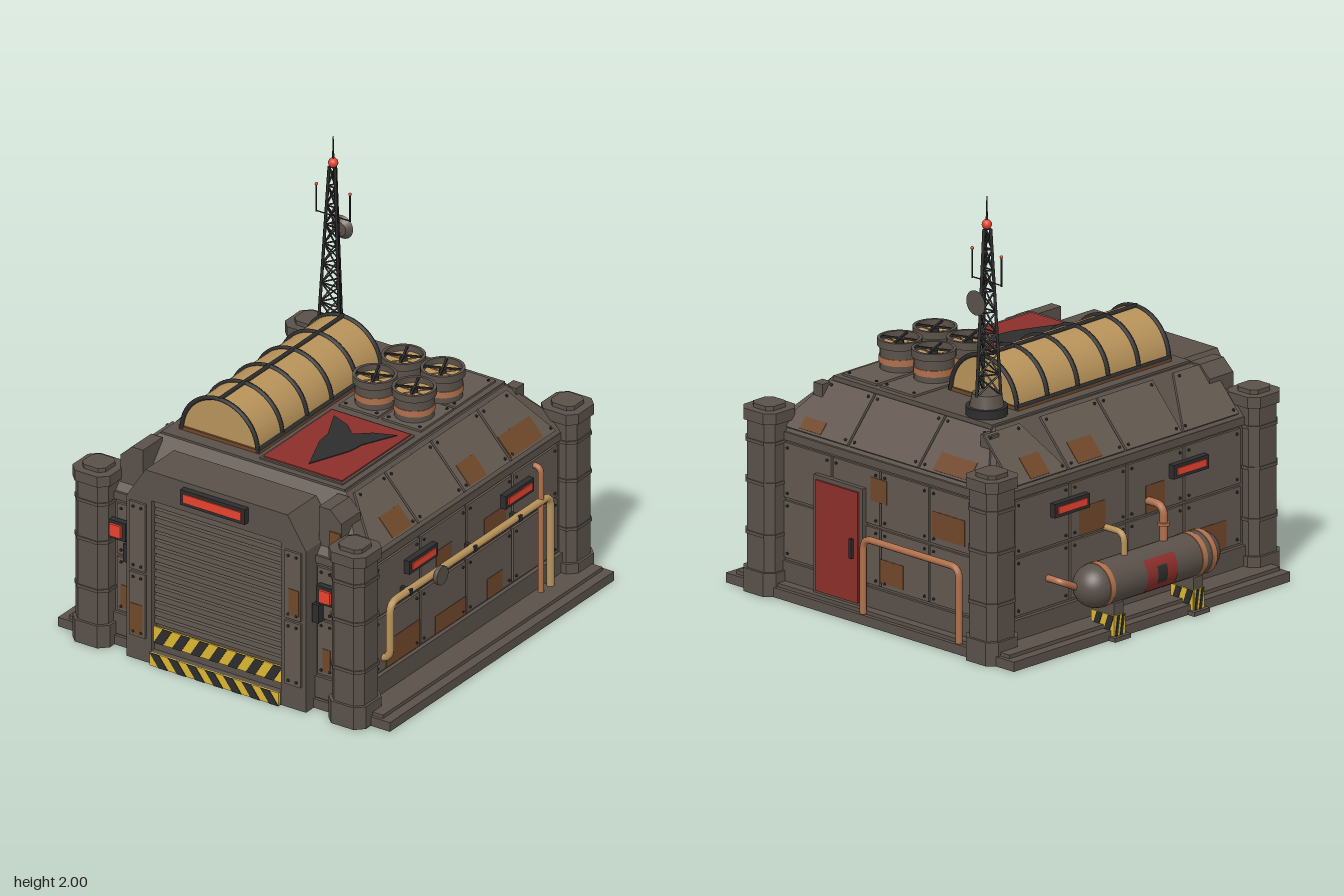
import * as THREE from 'three';

const M = (name, color, side = THREE.FrontSide) => {
  const m = new THREE.MeshStandardMaterial({ color, side });
  m.name = name;
  return m;
};
const steel = M('steel', 0x5a5149), panelGrey = M('panel grey', 0x625850), dark = M('dark iron', 0x2d2d2e),
  rust = M('rust', 0x70482a), lampRed = M('lamp red', 0xe8432e), paintRed = M('paint red', 0x8c2f2a),
  tan = M('tan', 0xb8935a, THREE.DoubleSide), hazard = M('hazard yellow', 0xdcb730), copper = M('copper', 0xb0704c);

const V = (x, y, z) => new THREE.Vector3(x, y, z);
function add(parent, name, geo, mat, x = 0, y = 0, z = 0) {
  const m = new THREE.Mesh(geo, mat);
  m.name = name;
  m.position.set(x, y, z);
  parent.add(m);
  return m;
}
function group(parent, name, x = 0, y = 0, z = 0) {
  const g = new THREE.Group();
  g.name = name;
  g.position.set(x, y, z);
  parent.add(g);
  return g;
}
// box given by its ranges on each axis
const box = (p, name, mat, x0, x1, y0, y1, z0, z1) =>
  add(p, name, new THREE.BoxGeometry(x1 - x0, y1 - y0, z1 - z0), mat, (x0 + x1) / 2, (y0 + y1) / 2, (z0 + z1) / 2);
const prism = (pts, depth) => new THREE.ExtrudeGeometry(
  new THREE.Shape(pts.map(([x, y]) => new THREE.Vector2(x, y))), { depth, bevelEnabled: false });
const cyl = (r, h, n = 16, r2 = r) => new THREE.CylinderGeometry(r2, r, h, n);

// straight rod between two points
function strut(p, name, mat, a, b, r, n = 5) {
  const m = add(p, name, cyl(r, a.distanceTo(b), n), mat);
  m.position.copy(a).lerp(b, 0.5);
  m.quaternion.setFromUnitVectors(V(0, 1, 0), b.clone().sub(a).normalize());
}
// pipe through points with rounded elbows
function pipe(p, name, mat, pts, r, bend = 0.05) {
  const path = new THREE.CurvePath();
  let from = pts[0];
  for (let i = 1; i < pts.length - 1; i++) {
    const c = pts[i];
    const a = c.clone().add(pts[i - 1].clone().sub(c).setLength(bend));
    const b = c.clone().add(pts[i + 1].clone().sub(c).setLength(bend));
    path.add(new THREE.LineCurve3(from, a));
    path.add(new THREE.QuadraticBezierCurve3(a, c, b));
    from = b;
  }
  path.add(new THREE.LineCurve3(from, pts[pts.length - 1]));
  add(p, name, new THREE.TubeGeometry(path, 90, r, 10), mat);
}
// riveted plate in a wall's own frame, its top edge may be shorter
const rivetGeo = cyl(0.007, 0.008, 6).rotateX(Math.PI / 2);
function plate(p, u0, u1, v0, v1, t0 = u0, t1 = u1) {
  add(p, 'wall panel', prism([[u0, v0], [u1, v0], [t1, v1], [t0, v1]], 0.012), panelGrey);
  const e = 0.022;
  for (const [u, v] of [[u0 + e, v0 + e], [u1 - e, v0 + e], [t1 - e, v1 - e], [t0 + e, v1 - e]])
    add(p, 'rivet', rivetGeo, dark, u, v, 0.014);
}
const patch = (p, u0, u1, v0, v1) =>
  box(p, 'rust patch', rust, Math.min(u0, u1), Math.max(u0, u1), v0, v1, 0.011, 0.0145);
function wall(parent, name, x, y, z, turn, tilt = 0) {
  const g = group(parent, name, x, y, z);
  g.rotation.set(-tilt, turn, 0, 'YXZ');
  return g;
}
function lamp(p, u, v, z, w = 0.22, h = 0.065) {
  box(p, 'lamp housing', dark, u - w / 2, u + w / 2, v - h / 2, v + h / 2, z, z + 0.03);
  box(p, 'lamp', lampRed, u - w / 2 + 0.018, u + w / 2 - 0.018, v - h / 2 + 0.016, v + h / 2 - 0.016, z + 0.03, z + 0.036);
}
function hazardBand(p, u0, u1, v0, v1, z, n, lean) {
  box(p, 'hazard band', hazard, u0, u1, v0, v1, z - 0.009, z);
  const w = (u1 - u0) / n, lo = lean > 0 ? 0 : w / 2, hi = w / 2 - lo;
  for (let i = 0; i < n; i++) {
    const u = u0 + i * w;
    add(p, 'hazard stripe', prism([[u + lo, v0], [u + lo + w / 2, v0], [u + hi + w / 2, v1], [u + hi, v1]], 0.003), dark, 0, 0, z);
  }
}

export function createModel() {
  const model = new THREE.Group();
  model.name = 'garage bunker';
  const b = group(model, 'building', 0.02, 0, 0);
  const H = Math.PI / 2;

  // foundation and body
  box(b, 'foundation', steel, -0.887, 0.887, 0, 0.045, -0.9, 0.845);
  box(b, 'foundation step', steel, -0.84, 0.84, 0.045, 0.062, -0.88, 0.83);
  box(b, 'body', steel, -0.7, 0.7, 0.05, 0.75, -0.82, 0.82);
  box(b, 'plinth', steel, -0.72, 0.72, 0.05, 0.155, -0.835, 0.835);
  box(b, 'cornice', steel, -0.712, 0.712, 0.715, 0.752, -0.83, 0.83);
  const roofGeo = new THREE.BoxGeometry(1.42, 0.23, 1.64);
  const rp = roofGeo.attributes.position;
  for (let i = 0; i < rp.count; i++)
    if (rp.getY(i) > 0) rp.setXYZ(i, Math.sign(rp.getX(i)) * 0.5, 0.115, Math.sign(rp.getZ(i)) * 0.62);
  const roofFlat = roofGeo.toNonIndexed();
  roofFlat.computeVertexNormals();
  add(b, 'sloped roof', roofFlat, steel, 0, 0.865, 0);
  box(b, 'roof deck', steel, -0.49, 0.49, 0.96, 0.99, -0.63, 0.62);

  // side walls and side slopes
  const cuts = [-0.715, -0.355, 0.005, 0.365, 0.72], tiltS = Math.atan(0.21 / 0.23), lenS = 0.311;
  for (const s of [1, -1]) {
    const w = wall(b, 'side wall', s * 0.7, 0, 0, s * H);
    const sl = wall(b, 'side slope', s * 0.71, 0.75, 0, s * H, tiltS);
    for (let i = 0; i < 4; i++) {
      const [a, c] = s > 0 ? [cuts[i], cuts[i + 1]] : [-cuts[i + 1], -cuts[i]];
      const u0 = a + 0.006, u1 = c - 0.006;
      plate(w, u0, u1, 0.17, 0.435);
      plate(w, u0, u1, 0.45, 0.705);
      plate(sl, u0, u1, 0.02, lenS - 0.02, i === 0 ? u0 + 0.12 : u0, i === 3 ? u1 - 0.12 : u1);
    }
    for (const [z0, z1, v0, v1] of [[0.62, 0.36, 0.17, 0.3], [0.24, 0, 0.17, 0.26], [-0.165, -0.285, 0.17, 0.27],
      [0.23, 0.11, 0.45, 0.58], [-0.145, -0.31, 0.45, 0.58]]) patch(w, -s * z0, -s * z1, v0, v1);
    for (const [z0, z1] of s > 0 ? [[-0.05, -0.185], [-0.375, -0.62], [0.4, 0.55]] : [[-0.48, -0.6], [-0.15, -0.3]])
      patch(sl, -s * z0, -s * z1, 0.03, 0.14);
    for (const z of [0.37, -0.38]) lamp(w, -s * z, 0.613, 0.012);
  }

  // rear wall with door and pipe
  const rear = wall(b, 'rear wall', 0, 0, -0.82, Math.PI);
  const rearSlope = wall(b, 'rear slope', 0, 0.75, -0.82, Math.PI, Math.atan(0.2 / 0.23));
  for (let i = 0; i < 4; i++) {
    const u = -0.6 + i * 0.3;
    plate(rear, u + 0.006, u + 0.294, 0.17, 0.435);
    plate(rear, u + 0.006, u + 0.294, 0.45, 0.705);
  }
  for (let i = 0; i < 3; i++) {
    const u0 = -0.65 + i * 0.4333 + 0.006, u1 = u0 + 0.421;
    plate(rearSlope, u0, u1, 0.02, 0.285, i === 0 ? u0 + 0.15 : u0, i === 2 ? u1 - 0.15 : u1);
  }
  patch(rearSlope, 0.3, 0.52, 0.03, 0.12);
  patch(rearSlope, -0.52, -0.39, 0.03, 0.09);
  patch(rear, 0.32, 0.52, 0.48, 0.6);
  patch(rear, 0.0, 0.14, 0.19, 0.3);
  patch(rear, -0.06, 0.04, 0.56, 0.67);
  box(rear, 'door frame', steel, -0.39, -0.09, 0.06, 0.61, 0, 0.035);
  box(rear, 'rear door', paintRed, -0.37, -0.11, 0.075, 0.59, 0.035, 0.045);
  box(rear, 'door handle', dark, -0.15, -0.135, 0.28, 0.37, 0.045, 0.06);
  pipe(rear, 'rear pipe', copper, [V(-0.05, 0.05, 0.07), V(-0.05, 0.4, 0.07), V(0.54, 0.4, 0.07), V(0.54, 0.05, 0.07)], 0.016);

  // corner columns
  for (const x of [-0.685, 0.685]) for (const z of [-0.832, 0.822]) {
    const c = group(b, 'corner column', x, 0, z);
    for (const [w, y0, y1] of [[0.2, 0, 0.11], [0.175, 0.11, 0.81], [0.186, 0.27, 0.285], [0.186, 0.51, 0.525],
      [0.186, 0.7, 0.715], [0.2, 0.8, 0.852], [0.125, 0.852, 0.872]]) {
      const h = w / 2, k = h * 0.6;
      add(c, 'column section', prism([[h, -k], [h, k], [k, h], [-k, h], [-h, k], [-h, -k], [-k, -h], [k, -h]], y1 - y0)
        .rotateX(-H), steel, 0, y0, 0);
    }
  }

  // front portal and shutter
  const f = group(b, 'front portal');
  add(f, 'portal frame', prism([[-0.345, 0], [-0.48, 0], [-0.48, 0.8], [-0.38, 0.955], [0.38, 0.955], [0.48, 0.8],
    [0.48, 0], [0.345, 0], [0.345, 0.81], [-0.345, 0.81]], 0.225), steel, 0, 0, 0.68);
  box(f, 'shutter backing', steel, -0.345, 0.345, 0, 0.81, 0.8, 0.865);
  for (let i = 0; i < 16; i++)
    box(f, 'shutter slat', panelGrey, -0.345, 0.345, 0.195 + i * 0.0385, 0.221 + i * 0.0385, 0.865, 0.885);
  hazardBand(f, -0.345, 0.345, 0.1, 0.18, 0.89, 7, 1);
  box(f, 'shutter foot', steel, -0.345, 0.345, 0, 0.1, 0.865, 0.885);
  box(f, 'threshold', steel, -0.345, 0.345, 0, 0.065, 0.88, 0.916);
  hazardBand(f, -0.345, 0.345, 0, 0.065, 0.922, 7, -1);
  lamp(f, 0, 0.893, 0.905, 0.345, 0.075);
  const front = group(b, 'front wall', 0, 0, 0.82), face = group(f, 'portal plates', 0, 0, 0.905);
  for (const s of [1, -1]) {
    for (const [v0, v1] of [[0.12, 0.435], [0.45, 0.785]]) plate(face, s * 0.415 - 0.043, s * 0.415 + 0.043, v0, v1);
    for (const [v0, v1] of [[0.17, 0.435], [0.45, 0.7]]) plate(front, s * 0.535 - 0.045, s * 0.535 + 0.045, v0, v1);
    lamp(front, s * 0.56, 0.585, 0.02, 0.1, 0.09);
    box(front, 'lamp face', lampRed, s * 0.56 - 0.03, s * 0.56 + 0.03, 0.555, 0.615, 0.05, 0.062);
    box(front, 'conduit box', dark, s * 0.505 - 0.017, s * 0.505 + 0.017, 0.44, 0.53, 0, 0.05);
    // roof corner gussets
    add(b, 'front gusset', prism([[s * 0.47, 0.74], [s * 0.59, 0.74], [s * 0.59, 0.92], [s * 0.53, 0.975], [s * 0.47, 0.975]], 0.15),
      steel, 0, 0, 0.64);
    box(b, 'rear gusset', steel, s * 0.515 - 0.028, s * 0.515 + 0.028, 0.85, 0.965, -0.7, -0.64);
    patch(front, s * 0.52, s * 0.56, 0.185, 0.3);
  }
  patch(face, -0.45, -0.385, 0.13, 0.28);
  patch(face, 0.395, 0.45, 0.47, 0.6);
  box(b, 'rust patch', rust, 0.53, 0.585, 0.78, 0.87, 0.788, 0.795);

  // roof plates and red hatch
  const deck = wall(b, 'deck plates', 0, 0.988, 0, 0, H);
  for (const u of [0.02, 0.25]) for (const [v0, v1] of [[0.02, 0.275], [0.29, 0.6]]) plate(deck, u, u + 0.21, v0, v1);
  box(deck, 'hatch rim', steel, 0.015, 0.46, -0.59, -0.03, 0, 0.01);
  box(deck, 'red hatch', paintRed, 0.027, 0.448, -0.578, -0.042, 0.01, 0.016);
  add(deck, 'direction arrow', prism([[0.07, -0.09], [0.17, -0.13], [0.238, -0.19], [0.306, -0.13], [0.406, -0.09],
    [0.33, -0.25], [0.32, -0.33], [0.238, -0.53], [0.156, -0.33], [0.146, -0.25]], 0.004), dark, 0, 0, 0.016);

  // barrel skylight
  const v = group(b, 'barrel skylight', -0.225, 0.995, 0.07);
  box(v, 'skylight curb', rust, -0.215, 0.215, -0.01, 0.012, -0.485, 0.485);
  add(v, 'skylight glazing', new THREE.CylinderGeometry(0.2, 0.2, 0.95, 32, 1, false, H, Math.PI).rotateX(H), tan);
  for (let i = 0; i < 6; i++)
    add(v, 'skylight rib', new THREE.TorusGeometry(0.203, 0.011, 6, 28, Math.PI), dark, 0, 0, -0.48 + i * 0.192);
  for (const [x, y] of [[0, 0.205], [-0.207, 0.012], [0.207, 0.012]])
    strut(v, 'skylight rail', dark, V(x, y, -0.485), V(x, y, 0.485), 0.01, 8);

  // roof fans
  const casing = [[0.09, 0], [0.09, 0.105], [0.1, 0.105], [0.1, 0.14], [0.086, 0.14], [0.086, 0.1], [0, 0.1]];
  for (const x of [0.135, 0.345]) for (const z of [-0.357, -0.135]) {
    const g = group(b, 'roof fan', x, 0.998, z);
    for (let i = 0; i < casing.length - 1; i++)
      add(g, 'fan casing', new THREE.LatheGeometry([casing[i], casing[i + 1]].map(p => new THREE.Vector2(...p)), 24), i === 5 ? rust : steel);
    add(g, 'fan band', cyl(0.093, 0.03, 24), copper, 0, 0.045, 0);
    for (let i = 0; i < 6; i++) {
      const blade = new THREE.CircleGeometry(0.084, 6, i * Math.PI / 3, 0.85).rotateX(-H);
      add(g, 'fan blade', blade, tan, 0, 0.112, 0);
    }
    add(g, 'fan hub', cyl(0.018, 0.02, 10), dark, 0, 0.12, 0);
    for (const r of [0.4, 0.4 + H]) add(g, 'fan guard', new THREE.BoxGeometry(0.18, 0.008, 0.01), dark, 0, 0.134, 0).rotation.y = r;
  }

  // lattice mast
  const m = group(b, 'antenna mast', -0.36, 0.99, -0.53);
  add(m, 'mast base', cyl(0.095, 0.04, 20), dark, 0, 0.02, 0);
  add(m, 'mast drum', cyl(0.078, 0.06, 20, 0.065), steel, 0, 0.068, 0);
  const leg = (k, t) => {
    const a = -H + k * Math.PI * 2 / 3, r = 0.064 - 0.046 * t;
    return V(r * Math.cos(a), 0.09 + 0.77 * t, r * Math.sin(a));
  };
  for (let k = 0; k < 3; k++) {
    strut(m, 'mast leg', dark, leg(k, 0), leg(k, 1), 0.0075);
    for (let i = 0; i < 8; i++) {
      strut(m, 'mast brace', dark, leg(k, i / 8), leg(k + 1, (i + 1) / 8), 0.004);
      strut(m, 'mast brace', dark, leg(k + 1, i / 8), leg(k, (i + 1) / 8), 0.004);
      strut(m, 'mast ring', dark, leg(k, (i + 1) / 8), leg(k + 1, (i + 1) / 8), 0.004);
    }
  }
  add(m, 'beacon', new THREE.SphereGeometry(0.023, 14, 10), lampRed, 0, 0.88, 0);
  add(m, 'mast spike', cyl(0.006, 0.13, 6, 0.002), dark, 0, 0.945, 0);
  strut(m, 'cross arm', dark, V(-0.09, 0.615, 0), V(0.09, 0.615, 0), 0.003);
  for (const x of [-0.09, 0.09]) {
    strut(m, 'whip antenna', dark, V(x, 0.61, 0), V(x, 0.745, 0), 0.004);
    add(m, 'whip tip', new THREE.SphereGeometry(0.008, 8, 6), lampRed, x, 0.748, 0);
  }
  add(m, 'dish', cyl(0.058, 0.025, 20, 0.035).rotateX(H), steel, 0, 0.53, -0.058);

  // pipes on the left side wall
  pipe(b, 'yellow pipe', tan, [V(0.69, 0.23, 0.64), V(0.747, 0.23, 0.64), V(0.747, 0.51, 0.64), V(0.747, 0.51, -0.61), V(0.747, 0.05, -0.61)], 0.018);
  pipe(b, 'copper riser', copper, [V(0.747, 0.05, -0.535), V(0.747, 0.68, -0.535), V(0.69, 0.68, -0.535)], 0.014, 0.03);
  add(b, 'valve wheel', cyl(0.045, 0.02, 20).rotateZ(H), steel, 0.775, 0.505, 0.285);
  for (const z of [0.5, 0, -0.35]) box(b, 'pipe clamp', dark, 0.7, 0.768, 0.495, 0.525, z - 0.01, z + 0.01);

  // tank on the right side wall
  const t = group(b, 'tank', -0.825, 0.25, 0);
  add(t, 'tank shell', new THREE.CapsuleGeometry(0.1, 0.65, 10, 28).rotateX(H), steel);
  for (const z of [-0.31, 0.27, 0.33]) add(t, 'tank band', cyl(0.103, 0.03, 28).rotateX(H), copper, 0, 0, z);
  add(t, 'tank plaque', new THREE.CylinderGeometry(0.1035, 0.1035, 0.19, 16, 1, true, 3 * H - 0.8, 1.6).rotateX(H), paintRed);
  add(t, 'plaque mark', new THREE.CylinderGeometry(0.1045, 0.1045, 0.06, 8, 1, true, 3 * H - 0.4, 0.8).rotateX(H), dark);
  pipe(t, 'tank feed', copper, [V(0.14, 0.05, -0.505), V(0.03, 0.05, -0.505), V(0.03, 0, -0.4)], 0.016, 0.035);
  pipe(t, 'tank feed', tan, [V(0, 0.05, -0.14), V(0, 0.2, -0.14), V(0.14, 0.2, -0.14)], 0.015, 0.045);
  pipe(t, 'tank feed', copper, [V(0.015, 0.05, 0.125), V(0.015, 0.26, 0.125), V(0.14, 0.26, 0.125)], 0.018);
  add(t, 'feed flange', cyl(0.027, 0.015, 14), copper, 0.015, 0.175, 0.125);
  for (const z of [-0.25, 0.25]) {
    const s = group(b, 'tank saddle', -0.825, 0, z);
    box(s, 'saddle foot', steel, -0.101, 0.07, 0, 0.02, -0.05, 0.05);
    box(s, 'saddle block', steel, -0.075, 0.06, 0.02, 0.17, -0.03, 0.03);
    for (const [turn, x, zz, w] of [[0, -0.01, 0.03, 0.07], [Math.PI, -0.01, -0.03, 0.07], [-H, -0.075, 0, 0.03]])
      hazardBand(wall(s, 'saddle stripes', x, 0, zz, turn), -w, w, 0.02, 0.115, 0.006, 2, 1);
  }
  return model;
}
